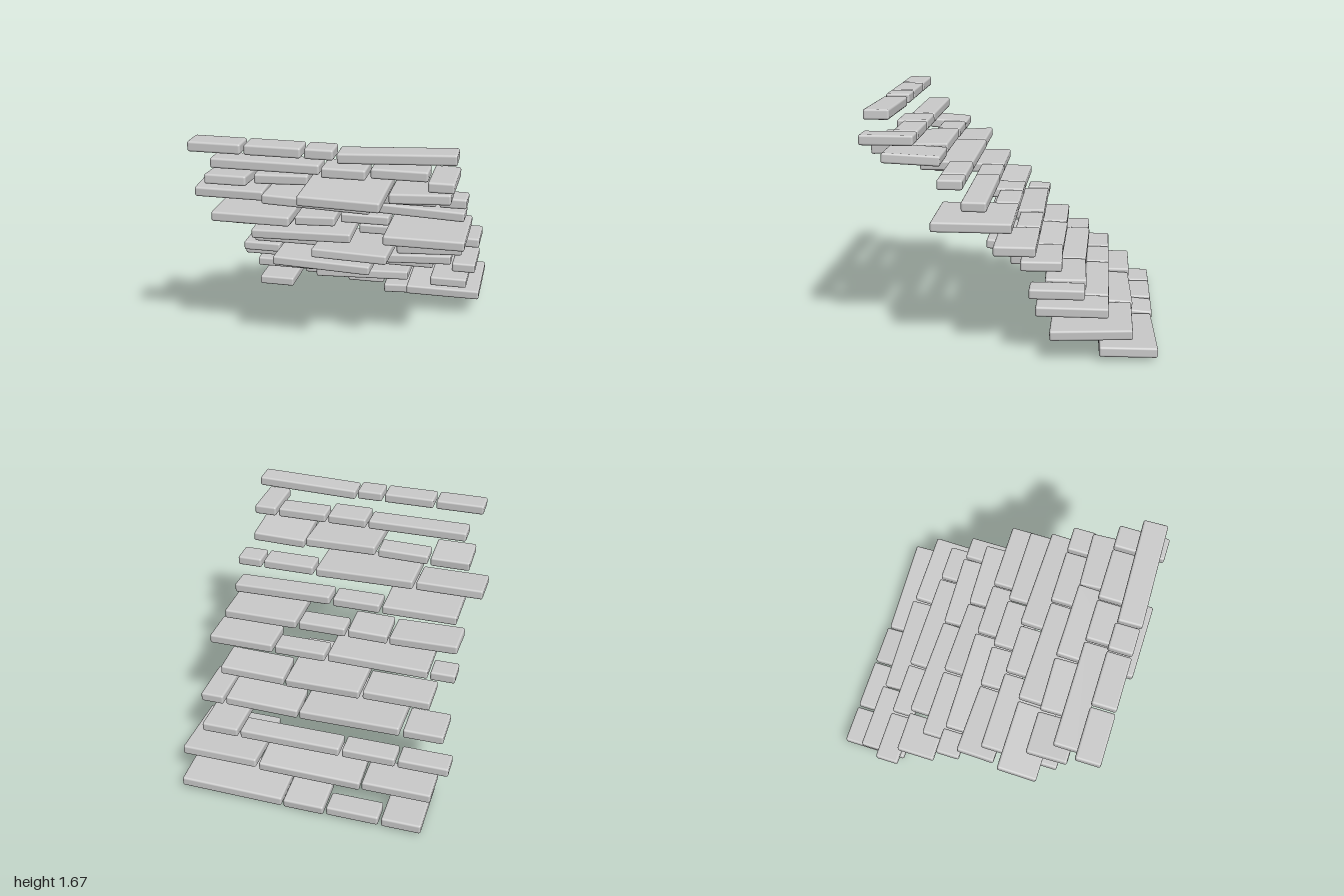
import * as THREE from 'three';
import { RoundedBoxGeometry } from 'three/addons/geometries/RoundedBoxGeometry.js';

const THICKNESS = 0.07;
const BEVEL = 0.015;
const GAP = 0.022; // joint between neighbouring slabs
const SHALLOW = 0.17; // usual slab depth
const BACK = -0.99; // back edge of the lowest course
const RUN = 0.16; // step forward per course

// Each course, bottom up: height, x where it starts, then its slabs as
// [x where it ends, depth, roll, pitch]; left-out values are the defaults
const courses = [
  [0.057, -0.855, [-0.575, 0.48], [-0.18], [0.135, 0.28, 0, -0.08], [0.9, 0.39, 0.04]],
  [0.203, -0.88, [-0.39, 0.28], [0.37, 0.38, 0.035, -0.05], [0.95, 0.55, 0, 0.045]],
  [0.325, -0.965, [-0.605], [-0.2], [0.565], [0.86, 0.49]],
  [0.47, -0.89, [-0.6, 0.28], [0.165, 0.55, -0.025], [0.73, 0.28, 0.04], [0.925, 0.37]],
  [0.62, -0.75, [-0.26, 0.28], [0.32, 0.55, -0.02, -0.04], [0.825, 0.28, 0.04]],
  [0.77, -0.89, [-0.71], [0.05, 0.4, 0.02, 0.03], [0.455], [0.965, 0.28]],
  [0.905, -0.87, [-0.37, 0.27, -0.035], [-0.055, 0.28, 0.03], [0.32], [0.9, 0.54]],
  [1.05, -0.82, [-0.27, 0.54], [0.105], [0.875, SHALLOW, -0.03]],
  [1.19, -0.97, [-0.48, 0.275, 0, 0.06], [0.285, 0.38, -0.025], [0.695], [0.9]],
  [1.33, -0.835, [-0.545, 0.28, 0, -0.07], [-0.15, SHALLOW, 0.03], [0.41, 0.54, -0.015, 0.035], [0.83, 0.39, 0.04, -0.05]],
  [1.47, -0.77, [-0.03], [0.285, 0.22], [0.68], [0.87, 0.36]],
  [1.625, -0.86, [-0.505], [-0.11], [0.1], [0.875, SHALLOW, 0.04]],
];

export function createModel() {
  const model = new THREE.Group();
  model.name = 'slabCourses';
  const material = new THREE.MeshStandardMaterial({ color: 0xcccccc });

  courses.forEach(([height, start, ...slabs], row) => {
    const course = new THREE.Group();
    course.name = `course${row + 1}`;
    course.position.set(0, height, BACK + row * RUN);

    // Slabs laid side by side from the shared back edge
    let x = start;
    slabs.forEach(([end, depth = SHALLOW, roll = 0, pitch = 0], i) => {
      const slab = new THREE.Mesh(
        new RoundedBoxGeometry(end - x, THICKNESS, depth, 2, BEVEL), material);
      slab.name = `slab${i + 1}`;
      slab.position.set((x + end) / 2, 0, depth / 2);
      // A rolled slab also turns slightly
      slab.rotation.set(pitch, roll * 0.7, roll);
      course.add(slab);
      x = end + GAP;
    });
    model.add(course);
  });
  return model;
}
